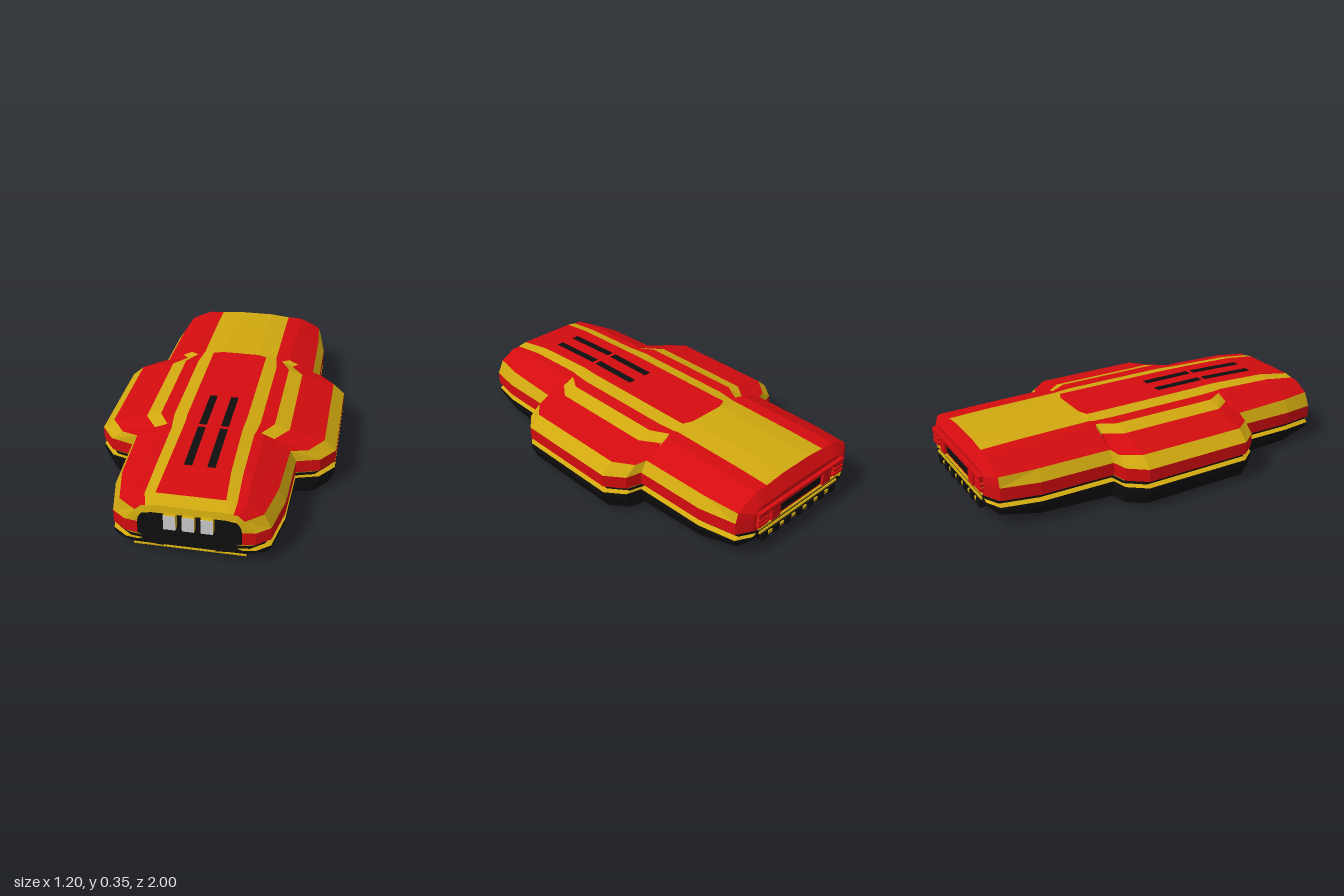
import * as THREE from 'three';

const mat = (name, color) => {
  const m = new THREE.MeshStandardMaterial({ color });
  m.name = name;
  return m;
};

// Hull sections: z, half width, bottom, groove height, shoulder x, shoulder y,
// outer stripe x, outer stripe inner x, inner stripe x, centre panel x, top
const SECTIONS = [
  [-0.98, 0.33, 0.08, 0.12, 0.32, 0.25, 0.3, 0.26, 0.2, 0.1, 0.275],
  [-0.94, 0.41, 0.055, 0.12, 0.395, 0.27, 0.33, 0.28, 0.205, 0.1, 0.338],
  [-0.75, 0.445, 0.022, 0.115, 0.41, 0.27, 0.33, 0.28, 0.205, 0.1, 0.345],
  [-0.37, 0.45, 0.005, 0.115, 0.415, 0.27, 0.33, 0.28, 0.205, 0.1, 0.35],
  [-0.35, 0.53, 0.003, 0.115, 0.47, 0.26, 0.3, 0.24, 0.21, 0.15, 0.35],
  [-0.26, 0.6, 0, 0.115, 0.54, 0.268, 0.365, 0.29, 0.22, 0.15, 0.35],
  [0.31, 0.6, 0, 0.115, 0.54, 0.268, 0.365, 0.29, 0.22, 0.15, 0.35],
  [0.4, 0.53, 0, 0.112, 0.47, 0.26, 0.3, 0.235, 0.21, 0.145, 0.35],
  [0.43, 0.415, 0.002, 0.108, 0.385, 0.265, 0.3, 0.25, 0.205, 0.145, 0.35],
  [0.75, 0.405, 0.01, 0.1, 0.37, 0.265, 0.29, 0.25, 0.205, 0.15, 0.337],
  [0.93, 0.365, 0.03, 0.085, 0.33, 0.255, 0.28, 0.25, 0.21, 0.16, 0.31],
  [0.97, 0.3, 0.04, 0.075, 0.25, 0.235, 0.23, 0.22, 0.2, 0.17, 0.27],
  [0.978, 0.24, 0.05, 0.075, 0.235, 0.2, 0.225, 0.215, 0.2, 0.17, 0.235],
];

// Band colours between sections, from keel to roof centre
const REAR = 'KKKKYKYRRRRRRR', BACK = 'KKKKYKYRYRRRYY', MID = 'KKKKYKYRYRYRYR';
const FRONT = 'KKKKYKYRYRRRYR', NOSE = 'KKKKYKYRYRRRYY', LIP = 'KKKKYKYRYYYYYY';
const DARK = 'KKKKKKKKKKKKKK';
const BANDS = [REAR, BACK, BACK, MID, MID, MID, MID, FRONT, FRONT, FRONT, NOSE, LIP, DARK];

// Right half of one section, keel to roof
function halfRing([z, w, b, g, sx, sy, ax, bx, cx, dx, top]) {
  const h = top - sy;
  return [
    [0, b], [0.42 * w, b], [0.95 * w, b + 0.02], [w, b + 0.75 * (g - b)],
    [w, g], [w - 0.025, g + 0.01], [w - 0.025, g + 0.025], [w, g + 0.035],
    [w, Math.min(g + 0.1, sy)], [sx, sy], [ax, sy + 0.5 * h], [bx, sy + 0.8 * h],
    [cx, sy + 0.84 * h], [dx, top], [0, top],
  ].map(([x, y]) => [x, y, z]);
}

export function createModel() {
  const model = new THREE.Group();
  model.name = 'lowSlungCar';
  const mats = {
    R: mat('red paint', 0xd40c0f),
    Y: mat('golden yellow paint', 0xd0a80f),
    K: mat('black', 0x0e0e0e),
    W: mat('light grey lamp', 0xcccccc),
  };

  // Faceted hull, gathered by colour and mirrored
  const faces = { R: [], Y: [], K: [] };
  const tri = (c, p, q, r) => {
    faces[c].push(...p, ...q, ...r);
    for (const [x, y, z] of [p, r, q]) faces[c].push(-x, y, z);
  };
  const rings = SECTIONS.map(halfRing);
  // recessed back wall of the mouth
  rings.push(rings[rings.length - 1].map(([x, y]) => [x, y, 0.966]));
  for (let i = 0; i < rings.length - 1; i++) {
    const a = rings[i], b = rings[i + 1];
    for (let j = 0; j < a.length - 1; j++) {
      const c = BANDS[i][j];
      tri(c, a[j], a[j + 1], b[j + 1]);
      tri(c, a[j], b[j + 1], b[j]);
    }
  }
  // End caps
  const tail = rings[0], mouth = rings[rings.length - 1];
  for (let j = 0; j < tail.length - 1; j++) {
    tri(j < 6 ? 'K' : 'R', [0, 0.145, -0.98], tail[j + 1], tail[j]);
    tri('K', [0, 0.12, 0.966], mouth[j], mouth[j + 1]);
  }
  const names = { R: 'bodyPanels', Y: 'bodyStripes', K: 'underbody' };
  for (const c of Object.keys(faces)) {
    const geo = new THREE.BufferGeometry();
    geo.setAttribute('position', new THREE.Float32BufferAttribute(faces[c], 3));
    geo.computeVertexNormals();
    const mesh = new THREE.Mesh(geo, mats[c]);
    mesh.name = names[c];
    model.add(mesh);
  }

  const box = (name, c, w, h, d, x, y, z, rx = 0) => {
    const mesh = new THREE.Mesh(new THREE.BoxGeometry(w, h, d), mats[c]);
    mesh.name = name;
    mesh.position.set(x, y, z);
    mesh.rotation.x = rx;
    model.add(mesh);
  };

  // Headlamps in the mouth, with pale lenses
  for (const x of [-0.085, 0, 0.085]) {
    box('headlampHousing', 'Y', 0.056, 0.076, 0.036, x, 0.202, 0.98);
    box('headlampLens', 'W', 0.056, 0.076, 0.002, x, 0.202, 0.999);
  }
  box('chinStrip', 'Y', 0.52, 0.006, 0.008, 0, 0.05, 0.976);

  for (const s of [-1, 1]) {
    // Bonnet slots
    box('rearBonnetSlot', 'K', 0.038, 0.006, 0.28, s * 0.055, 0.349, 0.26);
    box('frontBonnetSlot', 'K', 0.038, 0.006, 0.31, s * 0.055, 0.3425, 0.58, 0.041);
    // Tail lamp clusters
    for (let k = 0; k < 3; k++) {
      box('tailLampRib', 'R', 0.07, 0.014, 0.02, s * 0.28, 0.178 + k * 0.024, -0.988);
      box('tailLampGap', 'Y', 0.06, 0.005, 0.01, s * 0.28, 0.19 + k * 0.024, -0.983);
    }
    box('tailPanelSide', 'R', 0.06, 0.07, 0.016, s * 0.19, 0.195, -0.988);
  }
  // Tail panel
  box('tailBar', 'R', 0.63, 0.018, 0.02, 0, 0.242, -0.99);
  box('tailRecess', 'K', 0.31, 0.05, 0.006, 0, 0.195, -0.982);
  box('bumperStripe', 'Y', 0.6, 0.01, 0.012, 0, 0.15, -0.983);
  box('lowerBumperStripe', 'Y', 0.58, 0.01, 0.012, 0, 0.122, -0.983);

  // Diffuser fins under the tail
  for (let k = -3; k <= 3; k++) {
    box('diffuserFin', 'K', 0.04, 0.04, 0.05, k * 0.085, 0.088, -0.968);
    if (k < 3) box('diffuserGap', 'Y', 0.035, 0.016, 0.03, (k + 0.5) * 0.085, 0.086, -0.972);
  }
  return model;
}
